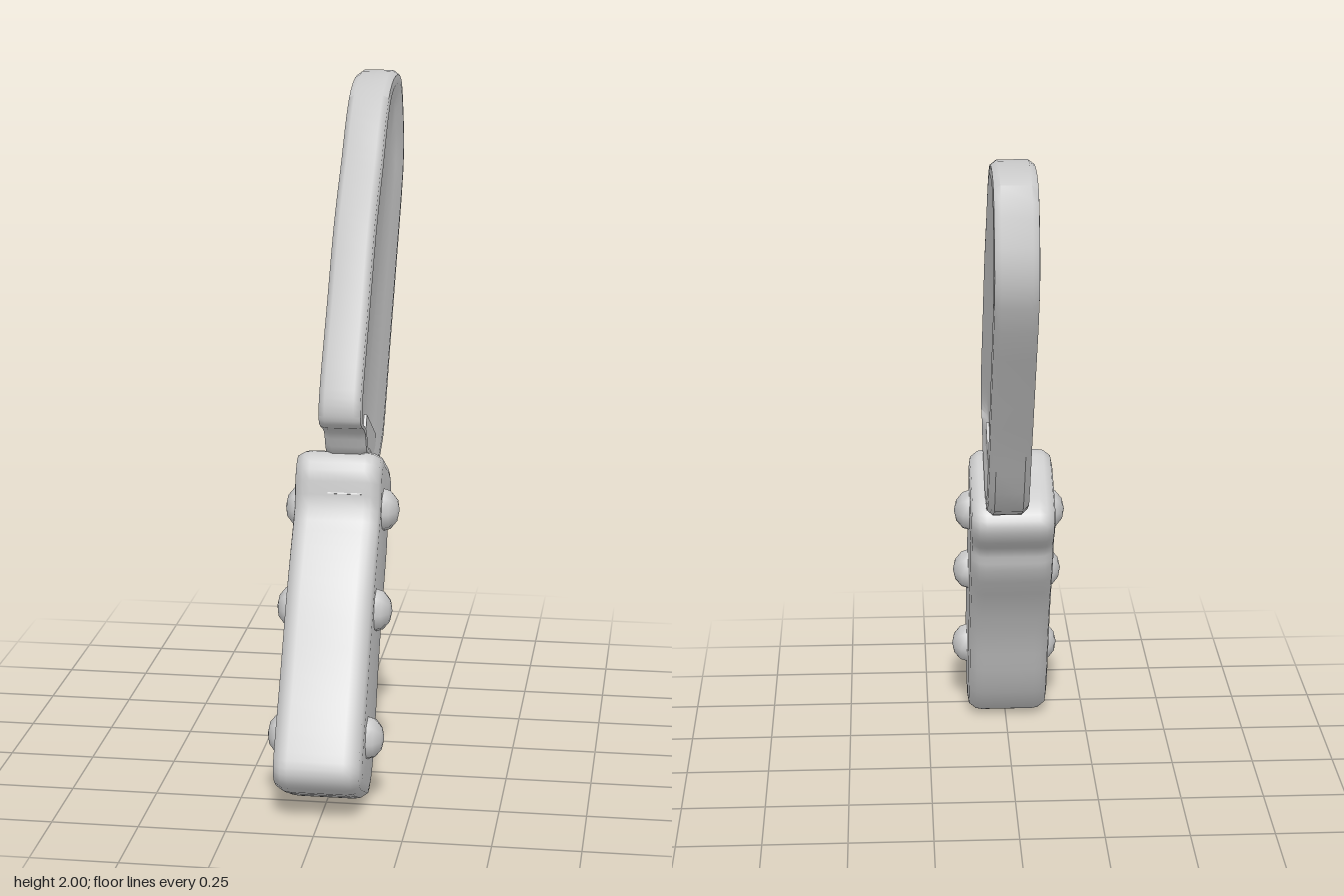
import * as THREE from 'three';
import { toCreasedNormals } from 'three/addons/utils/BufferGeometryUtils.js';

const material = new THREE.MeshStandardMaterial({ color: 0xcccccc });

// Lofts a side outline of [z, y] points across x. Each ring is [x, inset]:
// inset 0 keeps the outline, 1 collapses it onto the part's centre line.
function loft(outline, axis, rings, crease) {
  const curve = new THREE.CatmullRomCurve3(
    outline.map(([z, y]) => new THREE.Vector3(0, y, z)), true, 'centripetal');
  const n = outline.length * 3;
  const line = new THREE.Line3(...axis.map(([z, y]) => new THREE.Vector3(0, y, z)));
  const positions = [], index = [];
  rings.forEach(([x, inset], k) => {
    for (let i = 0; i < n; i++) {
      const p = curve.getPoint(i / n);
      const c = line.closestPointToPoint(p, true, new THREE.Vector3());
      p.lerp(c, inset);
      positions.push(x, p.y, p.z);
      if (k === rings.length - 1) continue;
      const a = k * n + i, b = k * n + (i + 1) % n;
      index.push(a, a + n, b, b, a + n, b + n);
    }
  });
  const geometry = new THREE.BufferGeometry();
  geometry.setAttribute('position', new THREE.Float32BufferAttribute(positions, 3));
  geometry.setIndex(index);
  return toCreasedNormals(geometry, crease);
}

// Mirrors half of a ring list (outer face to middle) around x = centre
function symmetric(centre, half) {
  return [
    ...half.map(([w, t]) => [centre - w, t]),
    ...half.slice().reverse().map(([w, t]) => [centre + w, t]),
  ];
}

export function createModel() {
  const model = new THREE.Group();
  const add = (name, geometry, parent = model) => {
    const mesh = new THREE.Mesh(geometry, material);
    mesh.name = name;
    parent.add(mesh);
    return mesh;
  };

  // Broad blade with a rounded tip, raised rim and shallow hollow faces
  const bladeOutline = [
    [0.25, 1.04], [0.35, 1.09], [0.36, 1.13], [0.34, 1.19], [0.2, 1.4], [0.06, 1.61],
    [-0.01, 1.69], [-0.11, 1.79], [-0.21, 1.9], [-0.31, 1.97], [-0.45, 2.0], [-0.61, 1.97],
    [-0.67, 1.85], [-0.69, 1.75], [-0.67, 1.65], [-0.5, 1.38], [-0.35, 1.15],
    [-0.2, 0.92], [-0.15, 0.89], [-0.04, 0.85], [0.09, 0.91], [0.21, 0.97],
  ];
  add('blade', loft(bladeOutline, [[0.1, 1.07], [-0.46, 1.77]],
    symmetric(0.017, [[0.043, 1], [0.045, 0.42], [0.062, 0.17], [0.06, 0.06], [0.042, 0]]), 0.8));

  // Tang joining blade and handle
  const tang = add('tang', new THREE.BoxGeometry(0.1, 0.24, 0.24));
  tang.position.set(0.02, 0.91, 0.1);
  tang.rotation.x = -0.5;

  // Chunky handle with a flared guard end
  const handleOutline = [
    [0.2, 0.97], [0.08, 0.92], [-0.03, 0.86], [-0.06, 0.81], [-0.03, 0.75], [0.03, 0.7],
    [0.05, 0.63], [0.16, 0.47], [0.24, 0.32], [0.31, 0.15], [0.39, 0.03], [0.45, 0.003],
    [0.52, 0.03], [0.67, 0.11], [0.695, 0.16], [0.67, 0.22], [0.55, 0.41], [0.43, 0.61],
    [0.34, 0.73], [0.27, 0.82], [0.25, 0.93],
  ];
  add('handle', loft(handleOutline, [[0.11, 0.82], [0.49, 0.17]],
    symmetric(-0.005, [[0.127, 1], [0.127, 0.3], [0.122, 0.12], [0.1, 0.02], [0.08, 0]]), 1.0));

  // Three domed rivets on each side
  const rivets = new THREE.Group();
  rivets.name = 'rivets';
  model.add(rivets);
  const dome = new THREE.SphereGeometry(0.067, 8, 6);
  dome.rotateZ(Math.PI / 2);
  dome.scale(0.8, 1, 1);
  for (const side of [-1, 1]) {
    for (const [z, y] of [[0.16, 0.79], [0.325, 0.535], [0.505, 0.21]]) {
      const rivet = add(side > 0 ? 'leftRivet' : 'rightRivet', dome, rivets);
      rivet.position.set(side * 0.115, y, z);
    }
  }
  return model;
}
